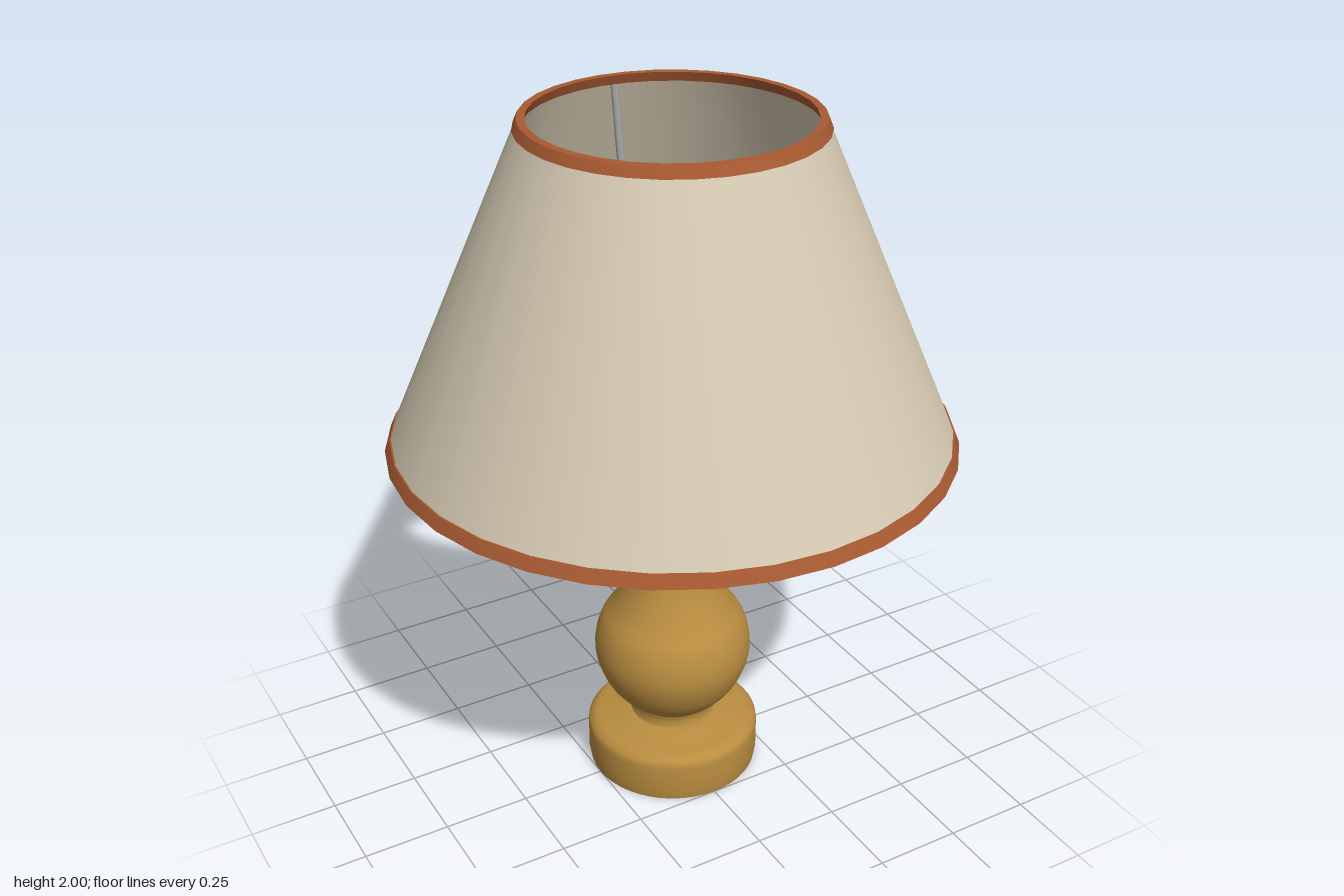
import * as THREE from 'three';
import { toCreasedNormals } from 'three/addons/utils/BufferGeometryUtils.js';

const paint = (color) => new THREE.MeshStandardMaterial({ color });
const gold = paint(0xb98d40);
const linen = paint(0xd6cab3);
const trim = paint(0xa85a32);
const darkMetal = paint(0x666666);
const wire = paint(0xa0a0a0);

const vec = (pairs) => pairs.map(([r, y]) => new THREE.Vector2(r, y));
const curve = (pairs, n) => new THREE.SplineCurve(vec(pairs)).getPoints(n);

// Turned part with crisp edges where the profile bends sharply
function turned(name, points, segments, material) {
  const geometry = toCreasedNormals(new THREE.LatheGeometry(points, segments), 0.6);
  const mesh = new THREE.Mesh(geometry, material);
  mesh.name = name;
  return mesh;
}

// Closed conical shell following the slope of the shade
const shadeRadius = (y) => 0.785 - (y - 1.09) * 0.434;
function coneShell(name, y0, y1, outset, inset, material) {
  const a = shadeRadius(y0), b = shadeRadius(y1);
  const loop = vec([
    [a + outset, y0], [b + outset, y1], [b - inset, y1], [a - inset, y0], [a + outset, y0],
  ]);
  return turned(name, loop, 32, material);
}

export function createModel() {
  const model = new THREE.Group();
  model.name = 'tableLamp';

  // Turned base: foot, baluster body, collar and domed cap
  const profile = [
    ...vec([[0, 0], [0.25, 0], [0.255, 0.03], [0.255, 0.11]]),
    ...curve([[0.253, 0.125], [0.235, 0.143], [0.19, 0.151], [0.145, 0.163]], 8),
    ...vec([[0.125, 0.165]]),
    ...curve([[0.12, 0.18], [0.125, 0.205], [0.15, 0.225], [0.195, 0.28], [0.225, 0.355], [0.228, 0.42],
      [0.21, 0.485], [0.175, 0.54], [0.14, 0.61], [0.112, 0.7], [0.096, 0.78], [0.09, 0.855]], 44),
    ...vec([[0.108, 0.872], [0.112, 0.884]]),
    ...curve([[0.118, 0.886], [0.142, 0.895], [0.147, 0.904], [0.138, 0.914], [0.124, 0.924]], 8),
    ...curve([[0.122, 0.93], [0.116, 0.97], [0.102, 1.01], [0.075, 1.038], [0.035, 1.05], [0, 1.052]], 14),
  ];
  model.add(turned('base', profile, 48, gold));

  // Open bulb socket with stepped rim
  const socket = vec([
    [0.04, 1.045], [0.065, 1.05], [0.085, 1.065], [0.092, 1.095], [0.102, 1.11], [0.104, 1.16],
    [0.088, 1.165], [0.088, 1.18], [0.098, 1.185], [0.098, 1.2], [0.088, 1.205], [0.092, 1.25],
    [0.078, 1.25], [0.075, 1.12], [0.04, 1.06], [0.04, 1.045],
  ]);
  model.add(turned('socket', socket, 32, darkMetal));

  // Wire carrier: ring around the socket and three bent arms up to the top rim
  const carrier = new THREE.Group();
  carrier.name = 'shadeCarrier';
  const ring = new THREE.Mesh(new THREE.TorusGeometry(0.104, 0.011, 8, 32), wire);
  ring.name = 'carrierRing';
  ring.rotation.x = Math.PI / 2;
  ring.position.y = 1.135;
  carrier.add(ring);
  for (const degrees of [-84.5, 38.5, 163]) {
    const t = THREE.MathUtils.degToRad(degrees);
    const at = (r, y) => new THREE.Vector3(r * Math.cos(t), y, r * Math.sin(t));
    const path = new THREE.CurvePath();
    path.add(new THREE.LineCurve3(at(0.1, 1.135), at(0.212, 1.135)));
    path.add(new THREE.QuadraticBezierCurve3(at(0.212, 1.135), at(0.222, 1.135), at(0.224, 1.146)));
    path.add(new THREE.LineCurve3(at(0.224, 1.146), at(0.378, 1.975)));
    const arm = new THREE.Mesh(new THREE.TubeGeometry(path, 80, 0.012, 8), wire);
    arm.name = 'carrierArm';
    carrier.add(arm);
  }
  model.add(carrier);

  // Lampshade with a trim band around each rim
  model.add(coneShell('shade', 1.095, 1.995, 0, 0.012, linen));
  model.add(coneShell('bottomTrim', 1.09, 1.125, 0.004, 0.016, trim));
  model.add(coneShell('topTrim', 1.972, 2, 0.004, 0.018, trim));

  return model;
}
